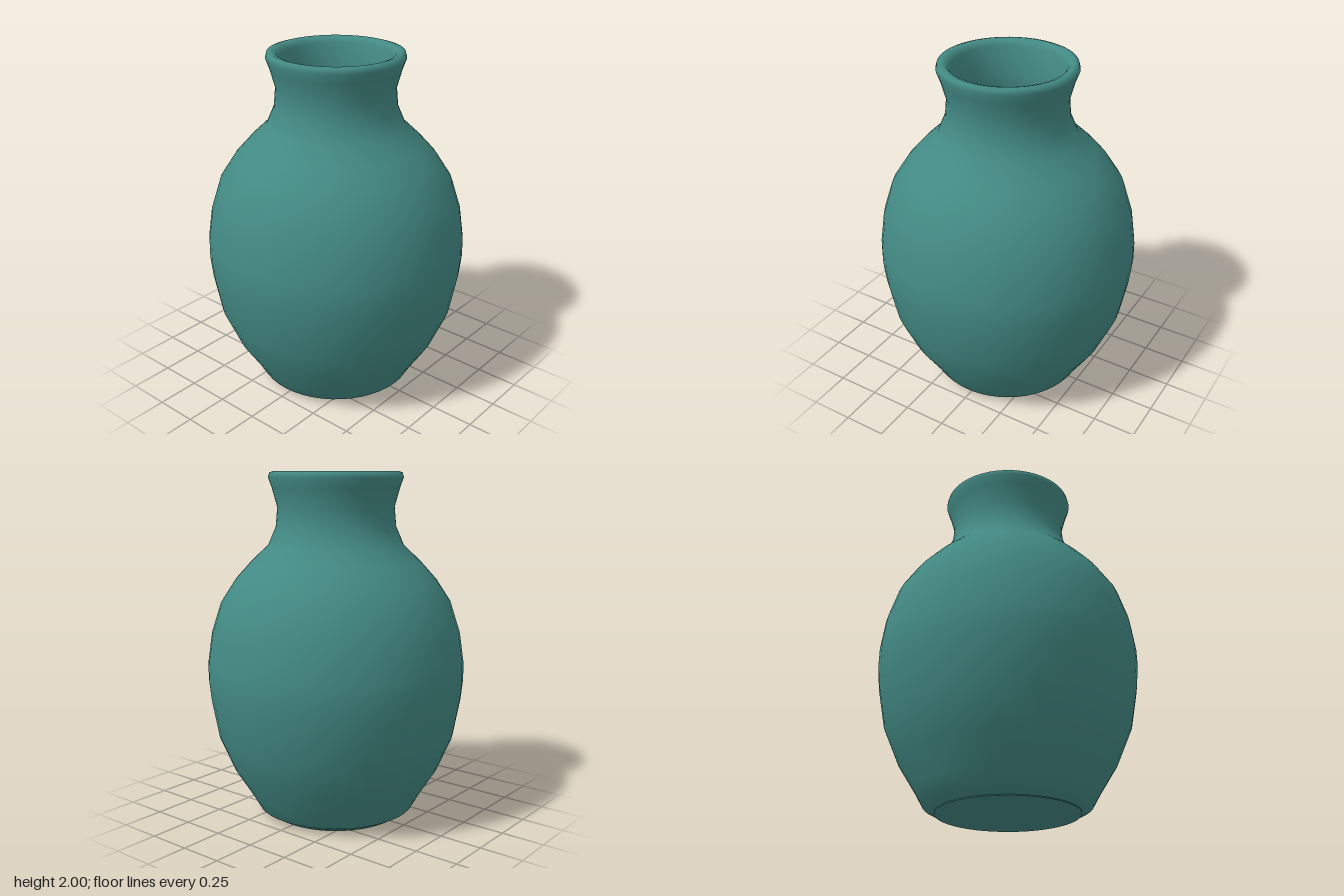
import * as THREE from 'three';

const SEGMENTS = 48;

// Revolves a list of [radius, height] pairs around the y axis
function revolve(name, profile, material) {
  const points = profile.map(([r, y]) => new THREE.Vector2(r, y));
  const mesh = new THREE.Mesh(new THREE.LatheGeometry(points, SEGMENTS), material);
  mesh.name = name;
  return mesh;
}

// Flat disc facing up or down
function disc(name, radius, y, up, material) {
  const geometry = new THREE.CircleGeometry(radius, SEGMENTS);
  geometry.rotateX(up ? -Math.PI / 2 : Math.PI / 2);
  const mesh = new THREE.Mesh(geometry, material);
  mesh.position.y = y;
  mesh.name = name;
  return mesh;
}

export function createModel() {
  const glaze = new THREE.MeshStandardMaterial({ color: 0x438a84 });
  glaze.name = 'teal glaze';

  const vase = new THREE.Group();
  vase.name = 'vase';

  // Outer wall from foot to lip, over the rim and down the inside
  const wall = [
    [0.40, 0.005], [0.465, 0.04], [0.51, 0.12], [0.61, 0.28], [0.695, 0.48],
    [0.735, 0.7], [0.747, 0.82], [0.745, 0.92], [0.72, 1.09], [0.665, 1.26],
    [0.58, 1.39], [0.49, 1.49], [0.39, 1.585], [0.345, 1.69], [0.335, 1.8],
    [0.365, 1.91], [0.385, 1.965], [0.378, 1.993], [0.355, 2.0], [0.328, 1.99],
    [0.312, 1.965], [0.3, 1.9], [0.28, 1.81], [0.285, 1.69], [0.33, 1.56],
    [0.44, 1.45], [0.53, 1.36], [0.61, 1.23], [0.66, 1.08], [0.685, 0.9],
    [0.675, 0.7], [0.635, 0.49], [0.555, 0.3], [0.46, 0.14], [0.4, 0.06],
  ];
  vase.add(revolve('wall', wall, glaze));

  // Foot edge, underside and inner floor
  vase.add(revolve('footEdge', [[0.40, 0], [0.40, 0.005]], glaze));
  vase.add(disc('underside', 0.40, 0, false, glaze));
  vase.add(disc('innerFloor', 0.40, 0.06, true, glaze));

  return vase;
}
